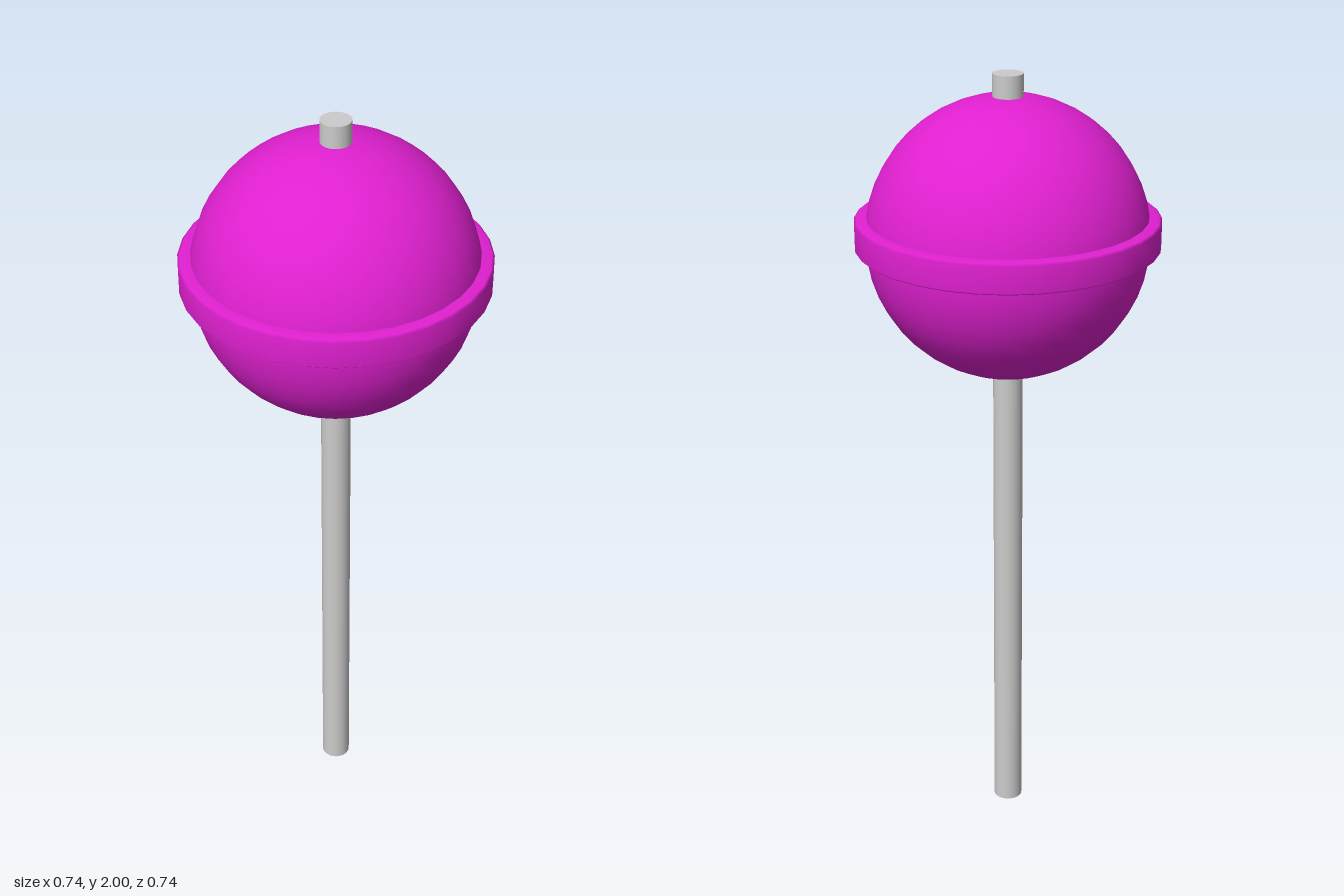
import * as THREE from 'three';

export function createModel() {
  const group = new THREE.Group();
  const candyMaterial = new THREE.MeshStandardMaterial({ color: 0xe020d0 });
  const stickMaterial = new THREE.MeshStandardMaterial({ color: 0xcccccc });

  const add = (name, geometry, material, y) => {
    const mesh = new THREE.Mesh(geometry, material);
    mesh.name = name;
    mesh.position.y = y;
    group.add(mesh);
  };

  // Stick running right through the candy
  add('stick', new THREE.CylinderGeometry(0.037, 0.037, 2, 32), stickMaterial, 1);

  // Candy ball
  add('candyBall', new THREE.SphereGeometry(0.346, 32, 24), candyMaterial, 1.602);

  // Band around the ball: flat outer wall, softly rounded rims, inner edge sunk into the ball
  const halfProfile = [[0.32, 0.039], [0.345, 0.039], [0.366, 0.037], [0.372, 0.032]];
  const profile = [
    ...halfProfile.map(([r, y]) => new THREE.Vector2(r, -y)),
    ...halfProfile.map(([r, y]) => new THREE.Vector2(r, y)).reverse(),
  ];
  add('candyBand', new THREE.LatheGeometry(profile, 32), candyMaterial, 1.617);

  return group;
}
